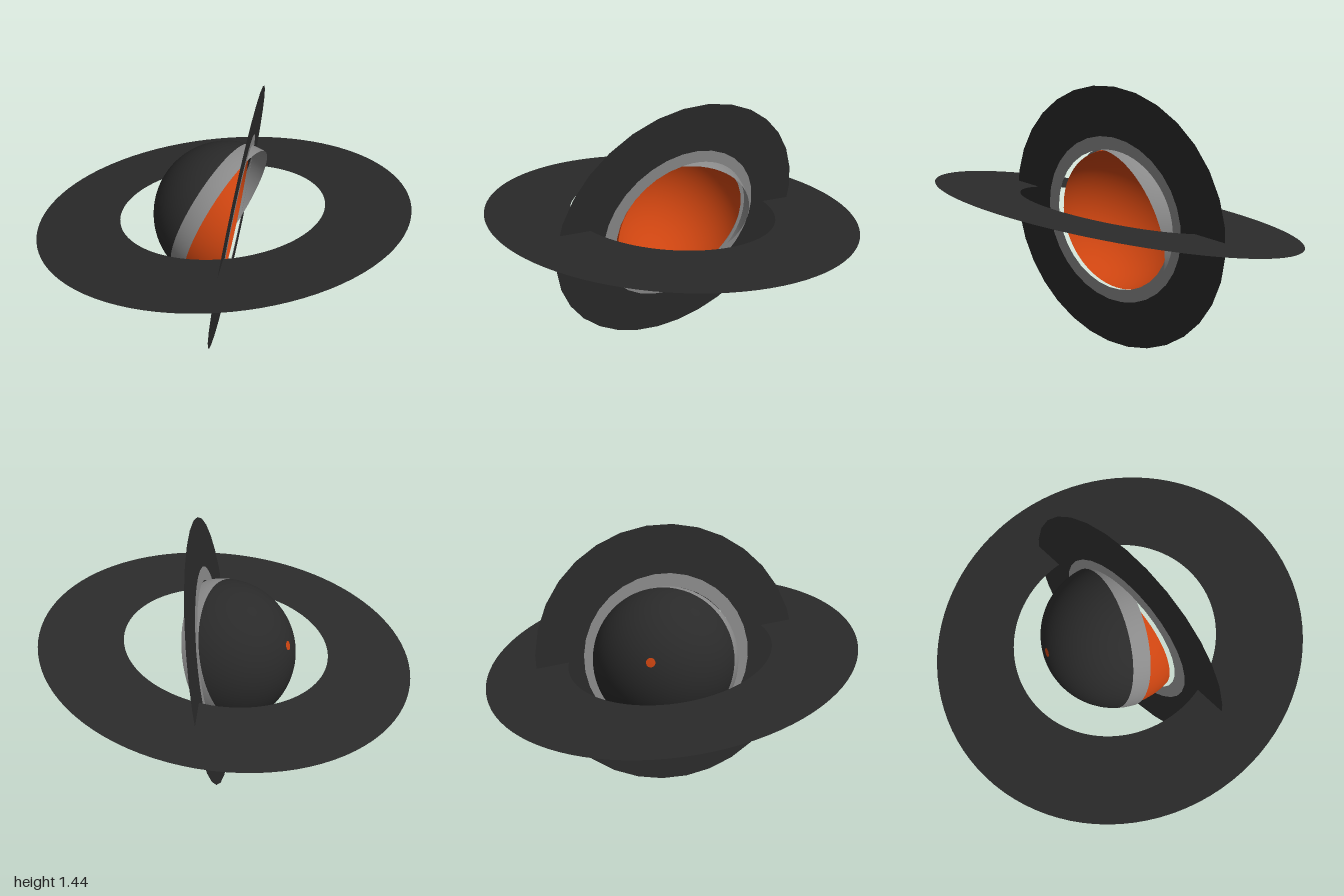
import * as THREE from 'three';

const paint = (name, color) => {
  const m = new THREE.MeshStandardMaterial({ color, side: THREE.DoubleSide });
  m.name = name;
  return m;
};

export function createModel() {
  const model = new THREE.Group();
  const charcoal = paint('charcoal', 0x2a2a2a);
  const grey = paint('grey', 0x8a8a8a);
  const orange = paint('orange', 0xcc4410);

  const add = (name, geometry, material, from, to, position) => {
    const mesh = new THREE.Mesh(geometry, material);
    mesh.name = name;
    mesh.quaternion.setFromUnitVectors(from, to);
    mesh.position.copy(position);
    model.add(mesh);
  };
  const ring = (name, inner, outer, sides, material, normal, centre) =>
    add(name, new THREE.RingGeometry(inner, outer, sides), material,
      new THREE.Vector3(0, 0, 1), normal, centre);
  // Part of a sphere between two angles measured from its pole
  const dome = (name, radius, start, end, material, pole, centre) =>
    add(name, new THREE.SphereGeometry(radius, 64, 32, 0, Math.PI * 2, start, end - start), material,
      new THREE.Vector3(0, 1, 0), pole, centre);

  // Wide, slightly tilted flat ring
  ring('wideRing', 0.555, 1, 96, charcoal,
    new THREE.Vector3(0, 0.983, -0.18).normalize(), new THREE.Vector3(0, 0.79, 0));

  // Upright ring with a grey inner border
  const facing = new THREE.Vector3(0.77, -0.125, 0.63).normalize();
  const ringCentre = new THREE.Vector3(0.065, 0.73, 0.055);
  ring('uprightRing', 0.463, 0.727, 32, charcoal, facing, ringCentre);
  ring('uprightRingBorder', 0.39, 0.463, 32, grey, facing, ringCentre);

  // Outer half shell: dark cap with a small hole at the pole, grey band at the rim
  const centre = new THREE.Vector3(0.028, 0.735, 0.002);
  const pole = new THREE.Vector3(-0.485, 0.3, -0.82).normalize();
  const bandStart = Math.acos(0.095 / 0.4);
  dome('shellCap', 0.4, 0.06, bandStart, charcoal, pole, centre);
  dome('shellBand', 0.4, bandStart, Math.PI / 2, grey, pole, centre);

  // Orange bowl inside the shell, opening towards the upright ring
  dome('innerBowl', 0.39, 0, Math.acos(-0.045 / 0.39), orange, facing.clone().negate(), centre);

  return model;
}
